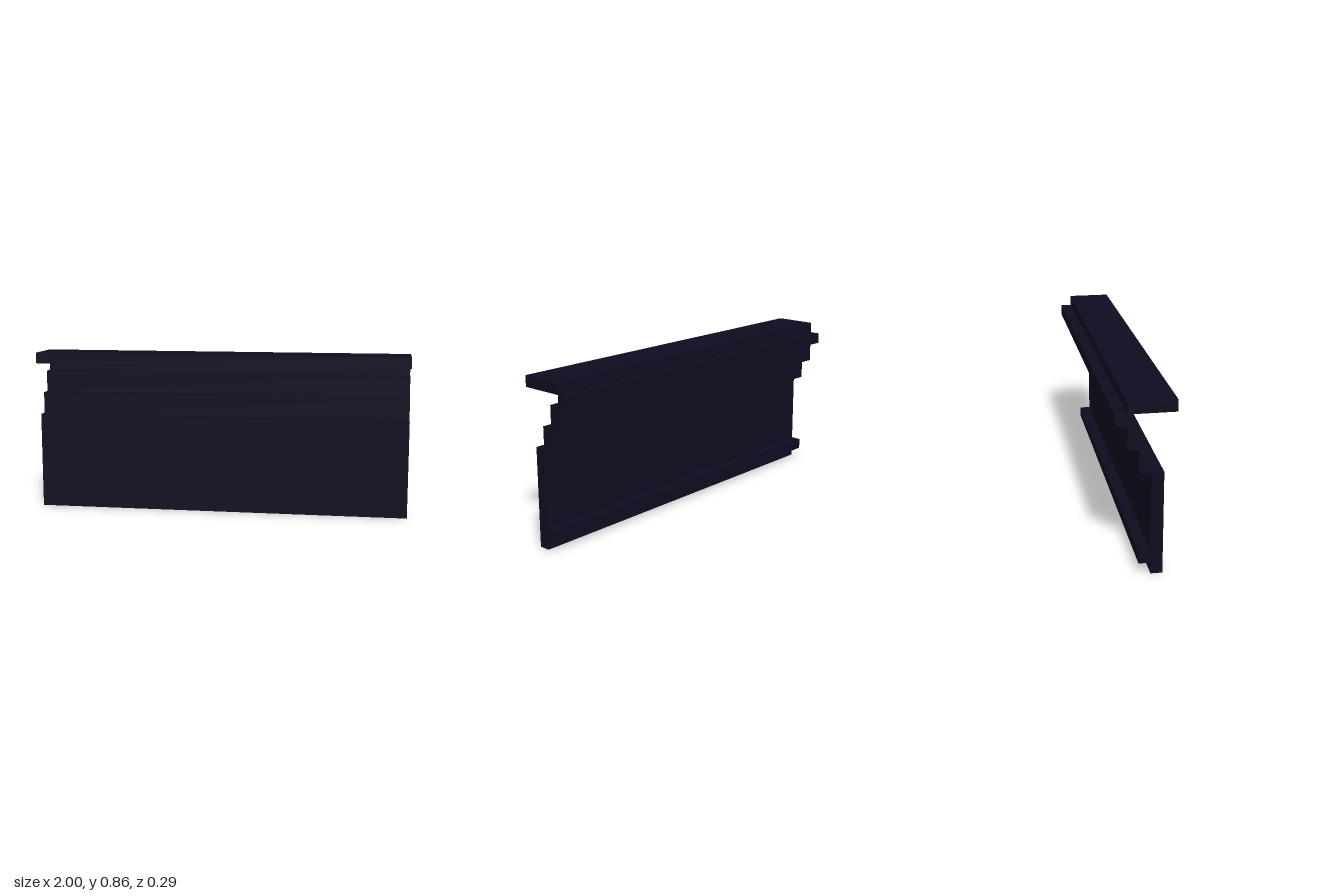
import * as THREE from 'three';

// Everything sits on a grid of 35 units along the 2-unit length
const U = 2 / 35;

export function createModel() {
  const group = new THREE.Group();
  group.name = 'steppedPanel';
  const navy = new THREE.MeshStandardMaterial({ color: 0x0d0d20 });
  navy.name = 'darkNavy';

  // A full-length bar, given its bottom, top, back and front in grid units
  function bar(name, y0, y1, z0, z1) {
    const geometry = new THREE.BoxGeometry(2, (y1 - y0) * U, (z1 - z0) * U);
    const mesh = new THREE.Mesh(geometry, navy);
    mesh.name = name;
    mesh.position.set(0, ((y0 + y1) / 2) * U, ((z0 + z1) / 2) * U);
    group.add(mesh);
  }

  bar('frontPanel', 0, 9, 0.5, 1.5);
  bar('rearRail', 1, 2, -0.5, 0.5);

  // Steps leaning back towards the top
  bar('lowerStep', 9, 11, -0.5, 0.5);
  bar('middleStep', 11, 13, -1.5, -0.5);
  bar('upperStep', 13, 14, -2.5, -1.5);

  // Ledge overhanging the front
  bar('topLedge', 14, 15, -1.5, 2.5);

  return group;
}
